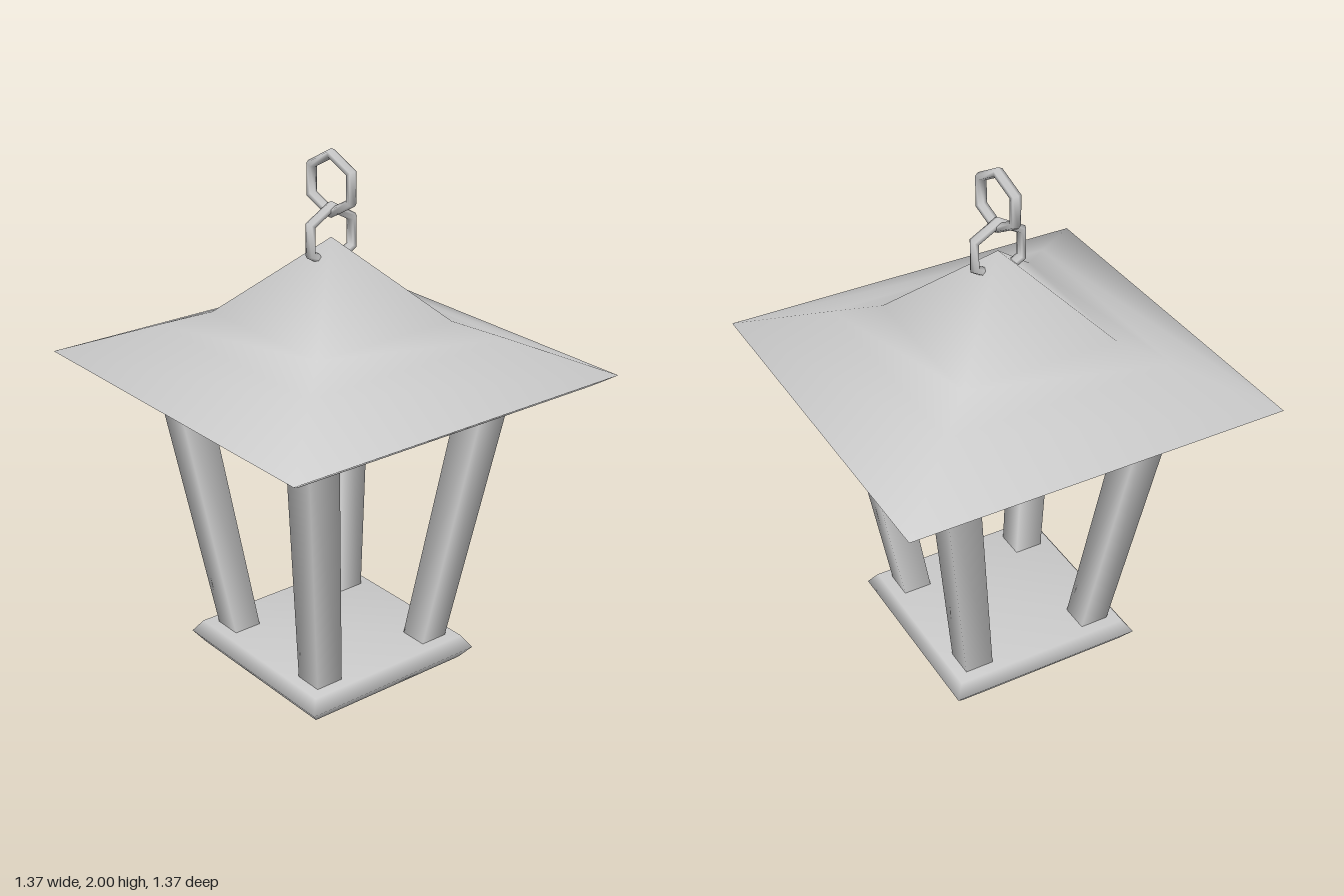
import * as THREE from 'three';
import { mergeVertices } from 'three/addons/utils/BufferGeometryUtils.js';

// Smooth square loft through rings [halfWidth, y, centreX, centreZ], listed bottom to top
function squareLoft(rings) {
  const corners = [[-1, 1], [1, 1], [1, -1], [-1, -1]];
  const positions = [];
  const index = [];
  rings.forEach(([half, y, cx = 0, cz = 0], r) => {
    for (const [sx, sz] of corners) positions.push(cx + sx * half, y, cz + sz * half);
    if (r === 0) return;
    for (let i = 0; i < 4; i++) {
      const a = (r - 1) * 4 + i;
      const b = (r - 1) * 4 + ((i + 1) % 4);
      const c = b + 4;
      const d = a + 4;
      // alternate the diagonal from side to side
      if (i % 2 === 0) index.push(a, b, c, a, c, d);
      else index.push(a, b, d, b, c, d);
    }
  });
  let geometry = new THREE.BufferGeometry();
  geometry.setAttribute('position', new THREE.Float32BufferAttribute(positions, 3));
  geometry.setIndex(index);
  geometry = mergeVertices(geometry, 1e-4);
  geometry.computeVertexNormals();
  return geometry;
}

export function createModel() {
  const group = new THREE.Group();
  group.name = 'lantern';
  const metal = new THREE.MeshStandardMaterial({ color: 0xcccccc });
  metal.name = 'light grey metal';

  const add = (name, geometry) => {
    const mesh = new THREE.Mesh(geometry, metal);
    mesh.name = name;
    group.add(mesh);
    return mesh;
  };

  // Base plate with a shallow pyramid underneath
  add('base', squareLoft([[0, 0], [0.33, 0.115], [0.365, 0.16], [0.335, 0.205], [0, 0.205]]));

  // Flared roof with a bevelled rim and flat underside
  add('roof', squareLoft([
    [0, 1.208], [0.625, 1.208], [0.685, 1.25], [0.42, 1.365], [0.287, 1.42], [0, 1.7],
  ]));

  // Four tapered posts leaning outwards
  for (const sx of [-1, 1]) {
    for (const sz of [-1, 1]) {
      add('post', squareLoft([
        [0.053, 0.18, sx * 0.237, sz * 0.237],
        [0.062, 1.23, sx * 0.382, sz * 0.382],
      ]));
    }
  }

  // Two interlocked hexagonal chain links
  const link = new THREE.TorusGeometry(0.1, 0.0175, 6, 6);
  link.rotateZ(Math.PI / 6);
  link.scale(1, 1, 1.15);
  const lower = add('lowerLink', link);
  lower.position.y = 1.705;
  lower.rotation.y = Math.PI / 2;
  const upper = add('upperLink', link);
  upper.position.y = 1.8825;
  upper.rotation.y = 0.17;

  return group;
}
